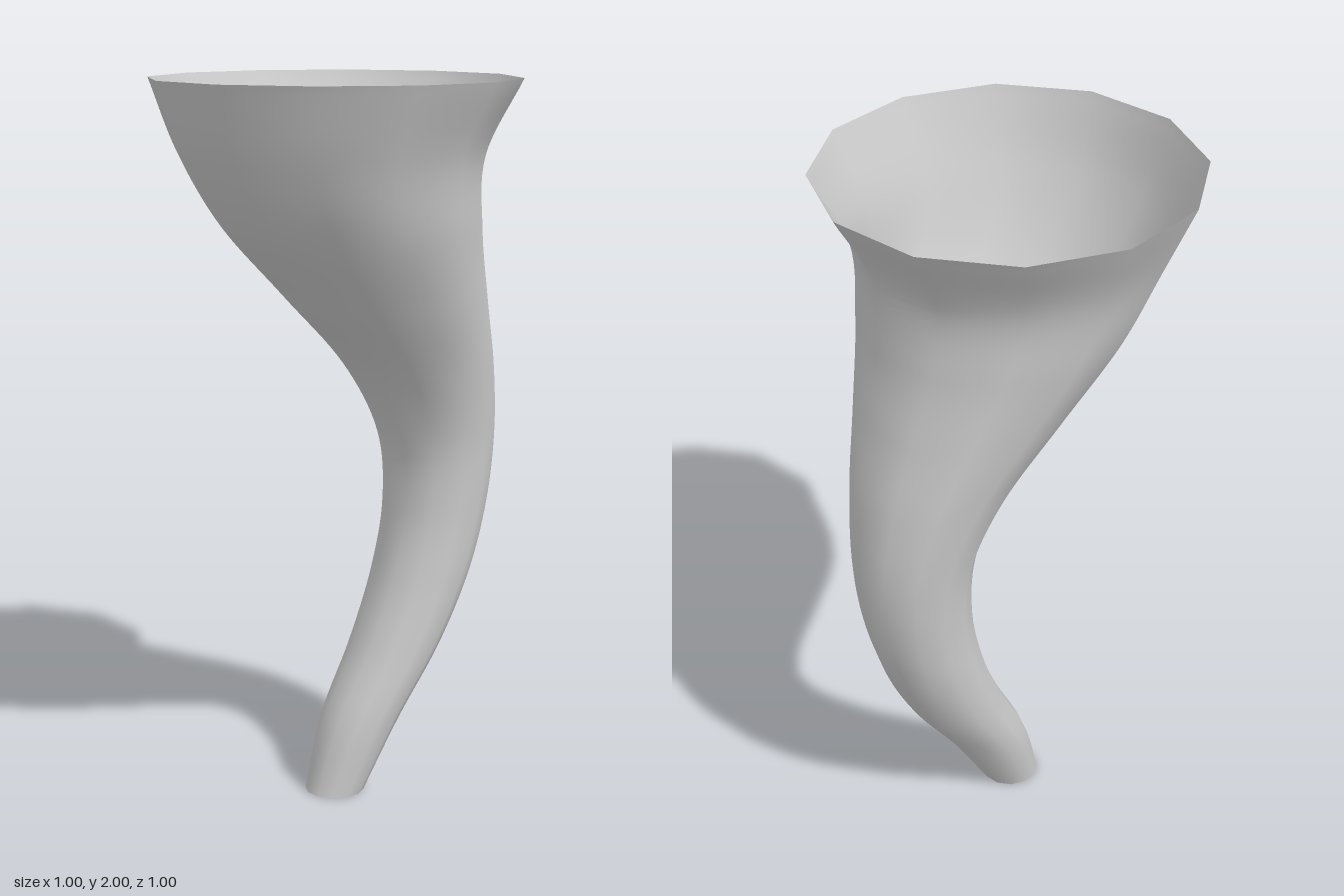
import * as THREE from 'three';

const SIDES = 12;
const STEPS = 80;

// Stations up the horn: height, centre x, centre z, radius
const STATIONS = [
  [0.0, 0.0, 0.0, 0.083],
  [0.2, 0.068, -0.058, 0.112],
  [0.4, 0.16, -0.135, 0.13],
  [0.6, 0.229, -0.195, 0.141],
  [0.8, 0.267, -0.228, 0.149],
  [1.0, 0.268, -0.23, 0.167],
  [1.2, 0.219, -0.185, 0.212],
  [1.4, 0.13, -0.104, 0.282],
  [1.6, 0.042, -0.026, 0.354],
  [1.8, -0.009, 0.016, 0.411],
  [2.0, 0.0, 0.0, 0.5],
];

// Smooth curve through the stations
const smooth = (points) => new THREE.CatmullRomCurve3(points, false, 'catmullrom', 0.5);

// Open tube made of level twelve-sided rings that follow the bent centre line
function hornGeometry() {
  const path = smooth(STATIONS.map(([y, x, z]) => new THREE.Vector3(x, y, z)));
  const girth = smooth(STATIONS.map(([y, , , r]) => new THREE.Vector3(r, y, 0)));
  const positions = [];
  const indices = [];
  for (let i = 0; i <= STEPS; i++) {
    const c = path.getPoint(i / STEPS);
    const r = girth.getPoint(i / STEPS).x;
    for (let j = 0; j < SIDES; j++) {
      const a = (j / SIDES) * Math.PI * 2;
      positions.push(c.x + r * Math.cos(a), c.y, c.z + r * Math.sin(a));
      if (i === STEPS) continue;
      const k = (j + 1) % SIDES;
      const p = i * SIDES + j;
      const q = i * SIDES + k;
      indices.push(p, p + SIDES, q, q, p + SIDES, q + SIDES);
    }
  }
  const geometry = new THREE.BufferGeometry();
  geometry.setAttribute('position', new THREE.Float32BufferAttribute(positions, 3));
  geometry.setIndex(indices);
  geometry.computeVertexNormals();
  return geometry;
}

export function createModel() {
  const group = new THREE.Group();
  const material = new THREE.MeshStandardMaterial({ color: 0xcccccc, side: THREE.DoubleSide });
  const horn = new THREE.Mesh(hornGeometry(), material);
  horn.name = 'flaredHorn';
  group.add(horn);
  return group;
}
